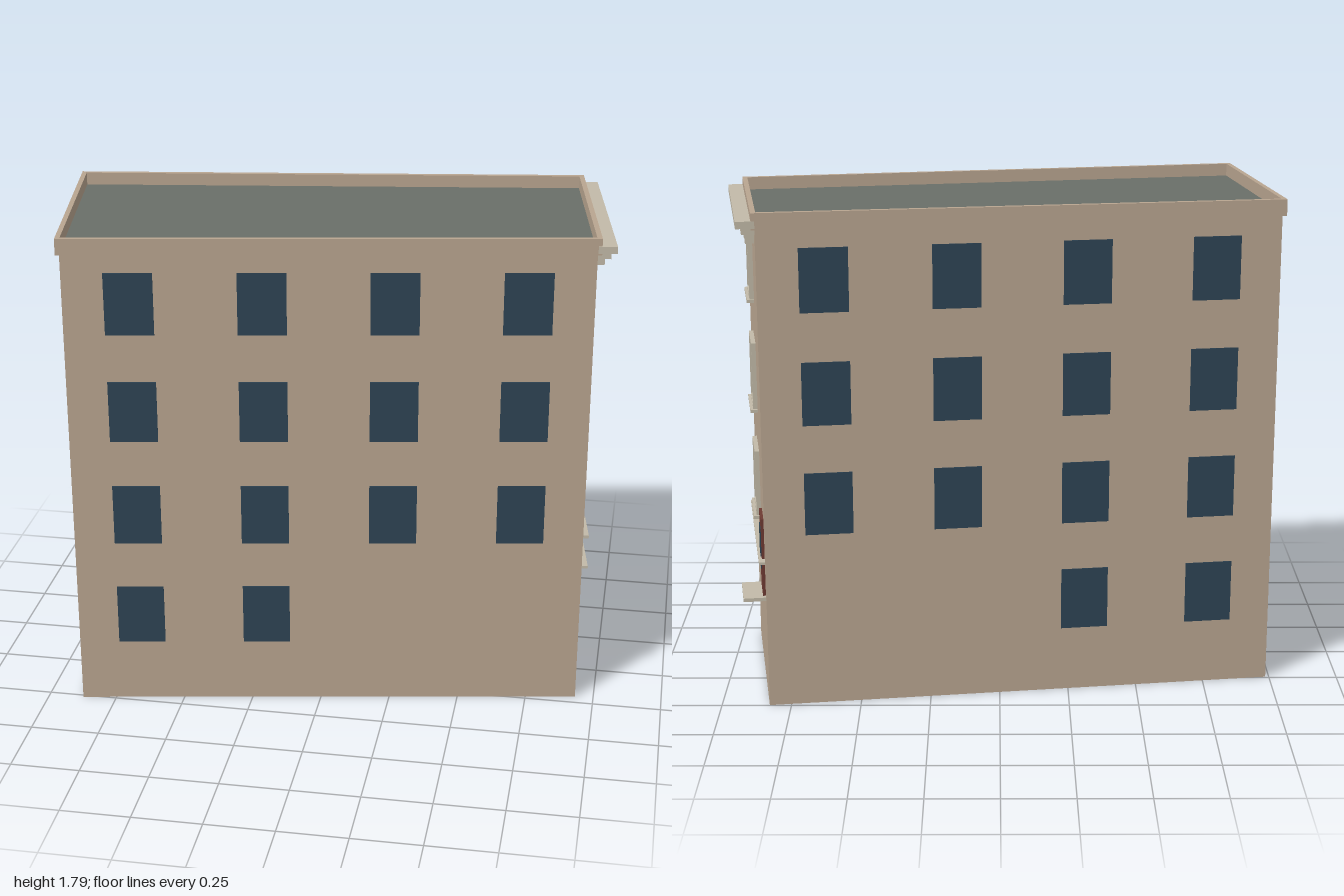
import * as THREE from 'three';

const mat = (color) => new THREE.MeshStandardMaterial({ color, flatShading: true });
const M = {
  wall: mat(0xb9a590), roof: mat(0x6a6f68), trim: mat(0xc2baa8),
  glass: mat(0x2e4454), sky: mat(0x7890a0), door: mat(0x6e3a32),
};

// Footprint corners (x, z), counter-clockwise seen from above, starting front left
const CORNERS = [[-0.872, 0.512], [0.933, 0.208], [0.828, -0.497], [-0.987, -0.242]]
  .map(([x, z]) => new THREE.Vector2(x, z));
const ROWS = [0.351, 0.754, 1.154, 1.556]; // window centre heights

const outward = (i) => {
  const d = CORNERS[(i + 1) % 4].clone().sub(CORNERS[i]).normalize();
  return new THREE.Vector2(-d.y, d.x);
};

// Footprint moved outwards by d, as points for a shape lying on the ground
const footprint = (d) => CORNERS.map((c, i) => {
  const p = c.clone().addScaledVector(outward(i), d).addScaledVector(outward((i + 3) % 4), d);
  return new THREE.Vector2(p.x, -p.y);
});

function prism(name, shape, y0, y1, material) {
  const geo = new THREE.ExtrudeGeometry(shape, { depth: y1 - y0, bevelEnabled: false });
  geo.rotateX(-Math.PI / 2).translate(0, y0, 0);
  const mesh = new THREE.Mesh(geo, material);
  mesh.name = name;
  return mesh;
}

// Group along wall i: x runs along the wall, y up, z outwards
function wallGroup(name, i) {
  const a = CORNERS[i], d = CORNERS[(i + 1) % 4].clone().sub(a);
  const g = new THREE.Group();
  g.name = name;
  g.position.set(a.x, 0, a.y);
  g.rotation.y = Math.atan2(-d.y, d.x);
  g.userData.length = d.length();
  return g;
}

// Box standing on the wall surface, reaching out by depth
function block(parent, name, material, x, y, w, h, depth) {
  const mesh = new THREE.Mesh(new THREE.BoxGeometry(w, h, depth), material);
  mesh.name = name;
  mesh.position.set(x, y, depth / 2);
  parent.add(mesh);
}

// Sash window with lighter upper pane, surround and sill
function sashWindow(x, y) {
  const g = new THREE.Group();
  g.name = 'sashWindow';
  g.position.set(x, y, 0);
  const w = 0.2, h = 0.243, t = 0.011;
  block(g, 'lowerPane', M.glass, 0, 0, w - t, h - t, 0.004);
  block(g, 'upperPane', M.sky, 0, 0.062, w - 0.036, 0.086, 0.006);
  for (const s of [-1, 1]) {
    block(g, 'frameSide', M.trim, s * (w - t) / 2, 0, t, h, 0.016);
    block(g, 'frameEnd', M.trim, 0, s * (h - t) / 2, w, t, 0.016);
  }
  block(g, 'meetingRail', M.trim, 0, 0.008, w - t, 0.006, 0.011);
  block(g, 'glazingBar', M.trim, 0, 0, 0.005, h - t, 0.009);
  block(g, 'sill', M.trim, 0, -h / 2 - 0.004, 0.218, 0.011, 0.026);
  return g;
}

export function createModel() {
  const model = new THREE.Group();
  model.name = 'building';

  // Body with flat roof, and the raised parapet around it
  model.add(prism('body', new THREE.Shape(footprint(0)), 0, 1.75, [M.roof, M.wall]));
  const rim = new THREE.Shape(footprint(0.0125));
  rim.holes.push(new THREE.Path(footprint(-0.005)));
  model.add(prism('parapet', rim, 1.737, 1.795, M.wall));

  // Plain windows on the long walls; the lowest row fills only the rear half
  for (const [name, i, mirrored] of [['frontWall', 0, false], ['backWall', 2, true]]) {
    const g = wallGroup(name, i);
    ROWS.forEach((y, row) => {
      for (let c = 0; c < (row === 0 ? 2 : 4); c++) {
        const f = (c + 0.5) / 4;
        block(g, 'window', M.glass, g.userData.length * (mirrored ? 1 - f : f), y, 0.17, 0.227, 0.003);
      }
    });
    model.add(g);
  }

  // One column of plain windows on the far short wall
  const end = wallGroup('endWall', 3);
  for (const y of ROWS) block(end, 'window', M.glass, end.userData.length / 2, y, 0.17, 0.227, 0.003);
  model.add(end);

  // Street facade
  const f = wallGroup('facade', 1);
  const L = f.userData.length;
  for (const y of ROWS.slice(1)) f.add(sashWindow(L / 2, y + 0.002));
  block(f, 'stringCourse', M.trim, L / 2, 0.541, L, 0.01, 0.022);

  // Door with glass panel and step
  block(f, 'door', M.door, 0.612, 0.55, 0.131, 0.286, 0.01);
  block(f, 'doorGlass', M.glass, 0.612, 0.575, 0.075, 0.15, 0.013);
  block(f, 'doorStep', M.trim, 0.612, 0.4, 0.167, 0.013, 0.08);

  // Cornice on brackets
  block(f, 'corniceTop', M.trim, L / 2, 1.755, L + 0.03, 0.025, 0.065);
  block(f, 'corniceBed', M.trim, L / 2, 1.731, L + 0.008, 0.022, 0.045);
  for (let k = -3; k <= 3; k++) block(f, 'bracket', M.trim, L / 2 + k * 0.096, 1.699, 0.02, 0.044, 0.031);
  model.add(f);

  return model;
}
